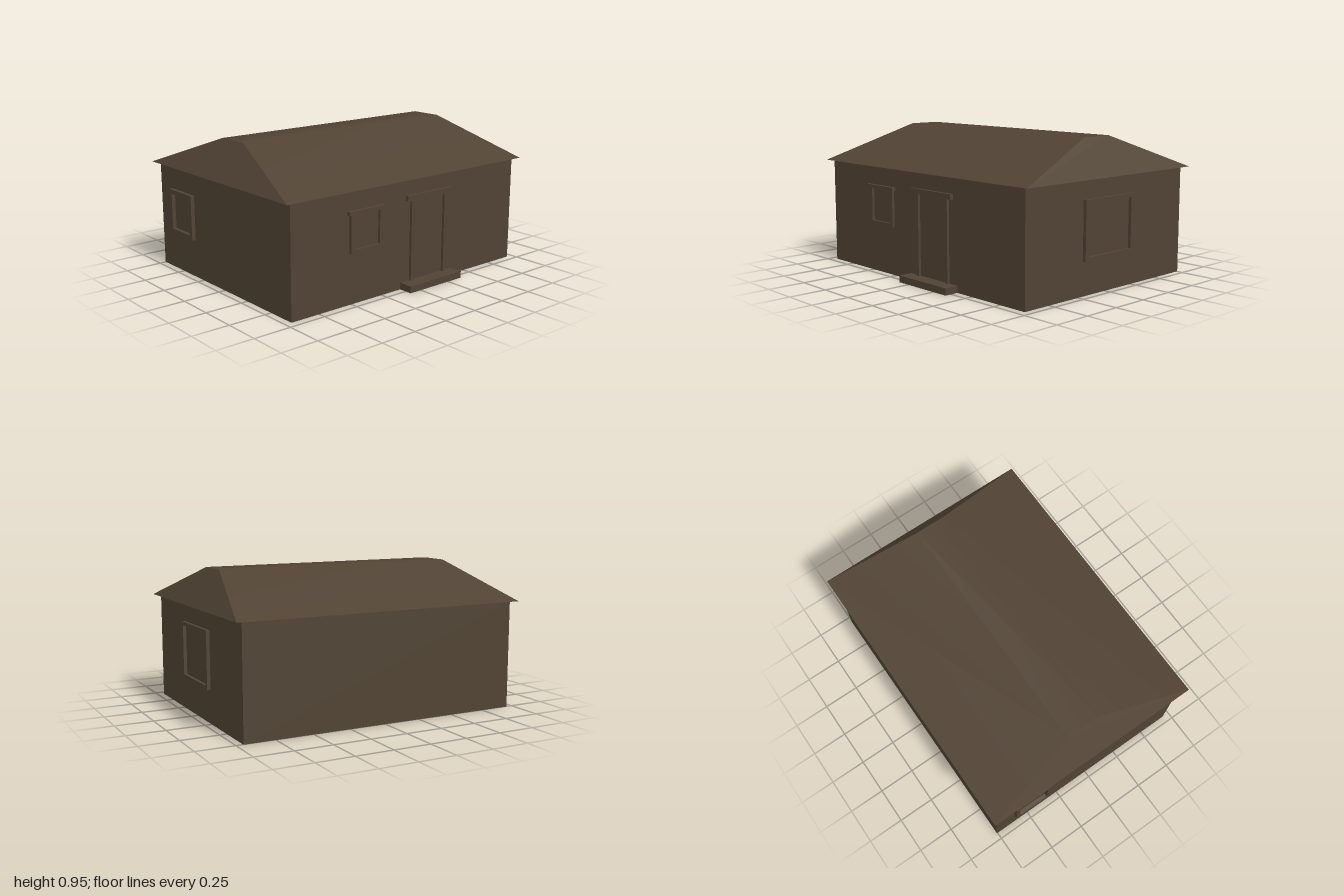
import * as THREE from 'three';

const brown = new THREE.MeshStandardMaterial({ color: 0x514334 });
brown.name = 'brown';

// Box given by its minimum and maximum corners
function block(parent, name, x0, x1, y0, y1, z0, z1) {
  const mesh = new THREE.Mesh(new THREE.BoxGeometry(x1 - x0, y1 - y0, z1 - z0), brown);
  mesh.position.set((x0 + x1) / 2, (y0 + y1) / 2, (z0 + z1) / 2);
  mesh.name = name;
  parent.add(mesh);
}

// Flat rectangular frame in the XY plane, extruded towards +z
function frame(parent, name, width, height, border, depth) {
  const rect = (C, w, h) => new C([[-w, -h], [w, -h], [w, h], [-w, h]].map(([x, y]) => new THREE.Vector2(x / 2, y / 2)));
  const shape = rect(THREE.Shape, width, height);
  shape.holes.push(rect(THREE.Path, width - 2 * border, height - 2 * border));
  const mesh = new THREE.Mesh(new THREE.ExtrudeGeometry(shape, { depth, bevelEnabled: false }), brown);
  mesh.name = name;
  parent.add(mesh);
  return mesh;
}

// Roof section: front eave, two ridge edges, back eave as [half length, y, z]
function roofGeometry() {
  const section = [[1, 0.715, 0.735], [0.845, 0.95, 0.085], [0.845, 0.95, -0.14], [1, 0.715, -0.79]];
  const left = section.map(([x, y, z]) => [-x, y, z]);
  const positions = [];
  const indices = [];
  const add = (points) => {
    const start = positions.length / 3;
    positions.push(...points.flat());
    return start;
  };
  // Slopes and ridge share vertices so the crown shades smoothly
  const s = add([...left, ...section]);
  for (let i = 0; i < 3; i++) {
    const a = s + i, b = s + 4 + i;
    indices.push(a, b, b + 1, a, b + 1, a + 1);
  }
  // Hipped ends and underside are flat
  const quad = (points) => {
    const q = add(points);
    indices.push(q, q + 1, q + 2, q, q + 2, q + 3);
  };
  quad([section[0], section[3], section[2], section[1]]);
  quad([left[0], left[1], left[2], left[3]]);
  quad([left[0], left[3], section[3], section[0]]);
  const geometry = new THREE.BufferGeometry();
  geometry.setAttribute('position', new THREE.Float32BufferAttribute(positions, 3));
  geometry.setIndex(indices);
  geometry.computeVertexNormals();
  return geometry;
}

export function createModel() {
  const house = new THREE.Group();
  house.name = 'house';

  block(house, 'walls', -0.955, 0.955, 0, 0.715, -0.755, 0.7);

  const roof = new THREE.Mesh(roofGeometry(), brown);
  roof.name = 'roof';
  // The end faces slope inwards, so both sides are drawn with outward winding
  house.add(roof);

  // Door surround and step
  const door = new THREE.Group();
  door.name = 'door';
  house.add(door);
  block(door, 'doorStep', -0.09, 0.37, 0, 0.045, 0.7, 0.795);
  block(door, 'doorJambRight', -0.015, 0.012, 0.045, 0.575, 0.7, 0.717);
  block(door, 'doorJambLeft', 0.278, 0.295, 0.045, 0.575, 0.7, 0.717);
  block(door, 'doorLintel', -0.055, 0.335, 0.575, 0.61, 0.7, 0.722);

  // Front window with lintel
  const frontWindow = new THREE.Group();
  frontWindow.name = 'frontWindow';
  house.add(frontWindow);
  block(frontWindow, 'windowLintel', -0.535, -0.245, 0.567, 0.59, 0.7, 0.726);
  block(frontWindow, 'windowSill', -0.515, -0.26, 0.325, 0.347, 0.7, 0.717);
  block(frontWindow, 'windowJambRight', -0.515, -0.482, 0.347, 0.567, 0.7, 0.717);
  block(frontWindow, 'windowJambLeft', -0.285, -0.26, 0.347, 0.567, 0.7, 0.717);

  // Side window frames
  const large = frame(house, 'leftWindowFrame', 0.45, 0.375, 0.024, 0.022);
  large.position.set(0.955, 0.404, -0.015);
  large.rotation.y = Math.PI / 2;
  const small = frame(house, 'rightWindowFrame', 0.275, 0.3, 0.03, 0.026);
  small.position.set(-0.955, 0.405, -0.473);
  small.rotation.y = -Math.PI / 2;

  return house;
}
